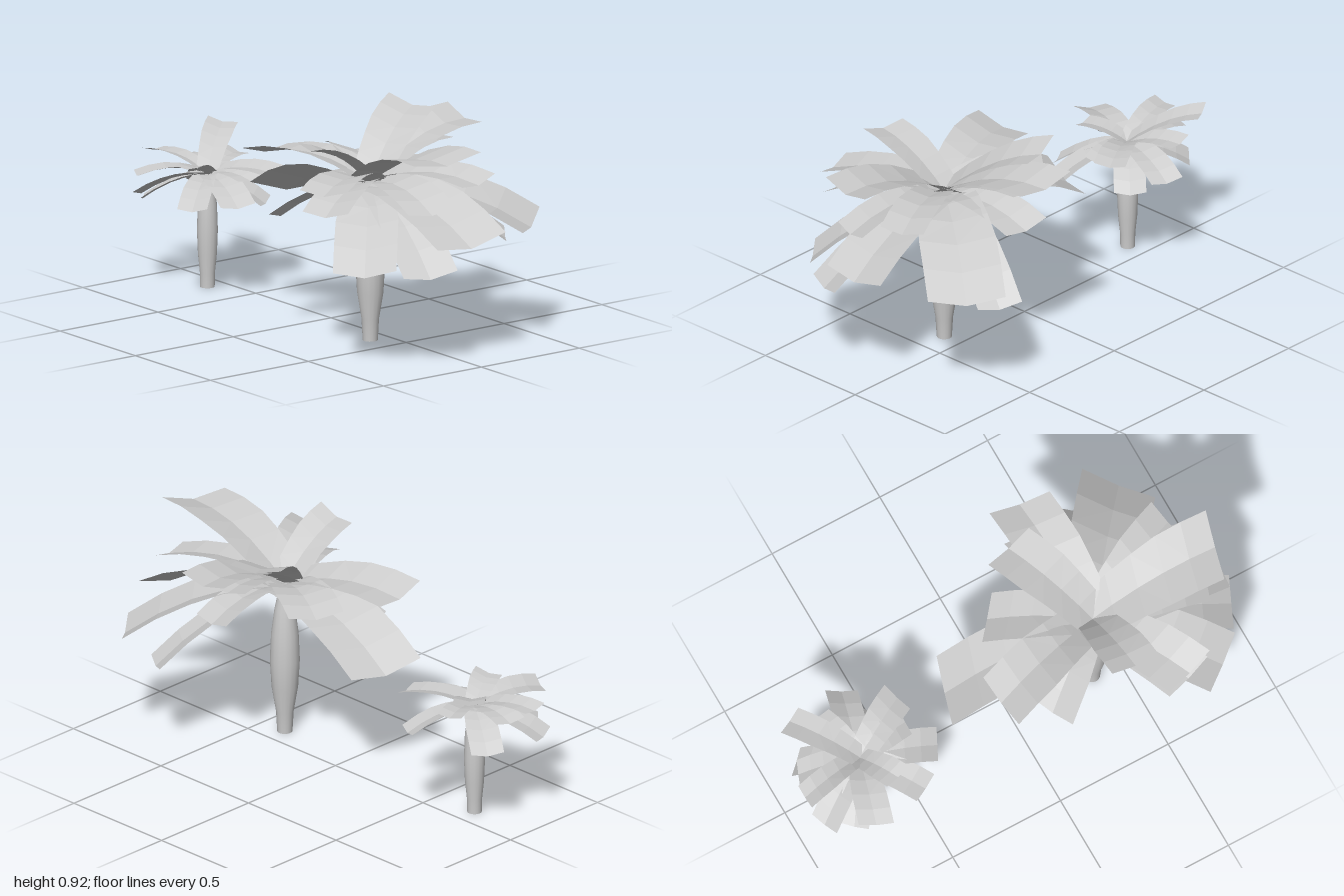
import * as THREE from 'three';

const barkMat = new THREE.MeshStandardMaterial({ color: 0xcccccc, side: THREE.DoubleSide });
const leafMat = new THREE.MeshStandardMaterial({ color: 0xcccccc, flatShading: true, side: THREE.DoubleSide });

// Curved strip from the crown to a tip [x, y, z, width]: arched along its length,
// folded along its midrib, slightly rolled, with a slanted end
function frond(root, [tx, ty, tz, width], arch) {
  const dx = tx - root.x, dz = tz - root.z;
  const len = Math.hypot(dx, dz);
  const ux = dx / len, uz = dz / len;
  const start = -0.05 * len;
  const geo = new THREE.PlaneGeometry(1, 1, 2, 5);
  const p = geo.attributes.position;
  for (let i = 0; i < p.count; i++) {
    const s = p.getX(i) * 2;
    const t = p.getY(i) + 0.5;
    const side = s * width * 0.5 * (0.7 + 0.3 * Math.min(1, t * 1.6));
    const along = start + (len - start) * t - side * 0.2;
    const y = root.y + (ty - root.y) * t + arch * len * 4 * t * (1 - t);
    const fold = (Math.abs(s) - 0.5) * width * 0.1 - s * width * 0.05;
    p.setXYZ(i, root.x + ux * along - uz * side, y + fold, root.z + uz * along + ux * side);
  }
  geo.computeVertexNormals();
  const mesh = new THREE.Mesh(geo, leafMat);
  mesh.name = 'frond';
  return mesh;
}

function palm(name, x, z, profile, crownY, tips, arch) {
  const g = new THREE.Group();
  g.name = name;
  // Bulging trunk with a closed foot
  const trunk = new THREE.Mesh(
    new THREE.LatheGeometry(profile.map(([r, y]) => new THREE.Vector2(r, y)), 16), barkMat);
  trunk.name = 'trunk';
  trunk.position.set(x, 0, z);
  const foot = new THREE.Mesh(new THREE.CircleGeometry(profile[0][0], 16).rotateX(Math.PI / 2), barkMat);
  foot.name = 'trunkFoot';
  foot.position.set(x, 0, z);
  // Crown of fronds
  const crown = new THREE.Group();
  crown.name = 'crown';
  const root = new THREE.Vector3(x, crownY, z);
  tips.forEach(t => crown.add(frond(root, t, arch)));
  g.add(trunk, foot, crown);
  return g;
}

export function createModel() {
  const model = new THREE.Group();
  model.name = 'twoPalms';

  model.add(palm('largePalm', 0.378, 0.09,
    [[0.031, 0], [0.036, 0.09], [0.054, 0.2], [0.061, 0.32], [0.056, 0.44], [0.042, 0.55], [0.02, 0.66]],
    0.66, [
      // upper fronds
      [0.19, 0.9, -0.27, 0.23], [0.33, 0.85, -0.43, 0.26], [0.4, 0.855, 0.41, 0.2],
      [0.93, 0.86, 0.12, 0.29], [0.3, 0.79, -0.32, 0.2],
      // level fronds
      [-0.13, 0.72, 0.24, 0.25], [0, 0.7, -0.11, 0.22], [0.6, 0.72, 0.5, 0.23],
      [0.84, 0.72, -0.11, 0.2], [0.6, 0.63, 0.49, 0.22], [0.36, 0.64, -0.35, 0.2],
      [0.87, 0.64, 0.15, 0.2],
      // drooping fronds
      [-0.27, 0.5, 0.02, 0.31], [0.07, 0.5, 0.31, 0.2], [0.785, 0.49, -0.42, 0.31],
      [0.6, 0.4, -0.43, 0.18], [0.975, 0.51, 0.03, 0.32], [0.95, 0.4, 0.22, 0.22],
      [0.79, 0.41, 0.435, 0.26],
    ], 0.11));

  model.add(palm('smallPalm', -0.705, 0.09,
    [[0.03, 0], [0.031, 0.06], [0.039, 0.14], [0.043, 0.24], [0.039, 0.35], [0.028, 0.42], [0.015, 0.48]],
    0.475, [
      // upper and level fronds
      [-0.9, 0.62, -0.14, 0.13], [-0.45, 0.51, -0.05, 0.14], [-0.99, 0.53, 0.15, 0.11],
      [-0.79, 0.5, 0.385, 0.14], [-0.96, 0.5, 0.04, 0.12], [-0.78, 0.52, -0.13, 0.12],
      [-0.62, 0.54, 0.26, 0.12], [-0.47, 0.49, 0.05, 0.12],
      // drooping fronds
      [-0.62, 0.43, -0.21, 0.13], [-0.39, 0.41, 0.175, 0.14], [-0.52, 0.39, 0.31, 0.13],
      [-0.95, 0.37, 0.24, 0.13], [-0.54, 0.36, -0.08, 0.13], [-0.92, 0.37, -0.05, 0.13],
      [-0.85, 0.38, 0.31, 0.12],
    ], 0.1));

  return model;
}
